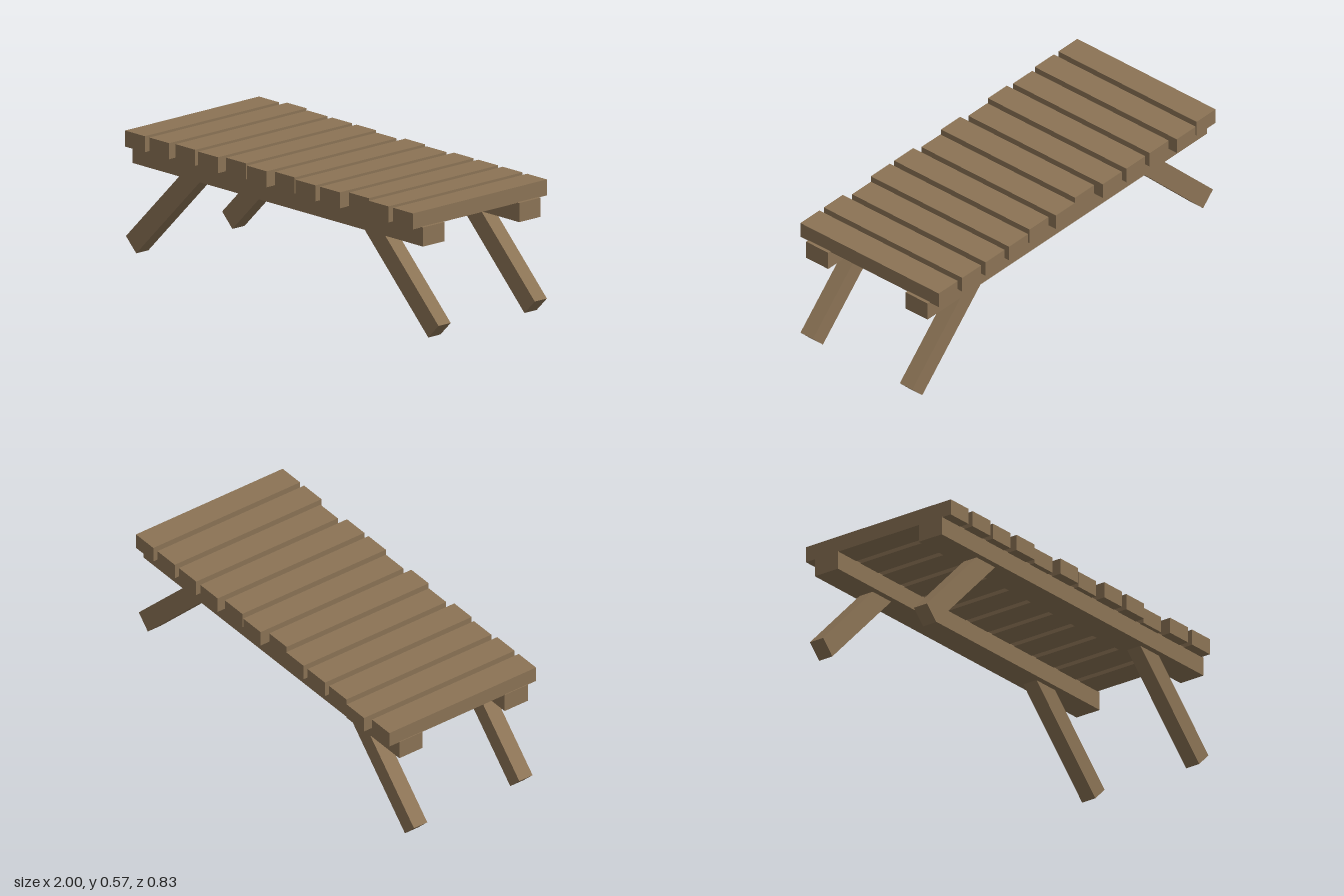
import * as THREE from 'three';

export function createModel() {
  const group = new THREE.Group();
  const wood = new THREE.MeshStandardMaterial({ color: 0x8b7355 });
  wood.name = 'weathered wood';

  function beam(name, w, h, d, x, y, z) {
    const mesh = new THREE.Mesh(new THREE.BoxGeometry(w, h, d), wood);
    mesh.name = name;
    mesh.position.set(x, y, z);
    group.add(mesh);
    return mesh;
  }

  // Slats across the top, each with slightly uneven ends [back, front]
  const ends = [
    [-0.393, 0.412], [-0.414, 0.412], [-0.393, 0.402], [-0.393, 0.412],
    [-0.393, 0.39], [-0.368, 0.412], [-0.393, 0.39], [-0.376, 0.412],
    [-0.393, 0.412], [-0.393, 0.384], [-0.393, 0.412], [-0.393, 0.412],
  ];
  ends.forEach(([back, front], i) => {
    beam('slat' + (i + 1), 0.126, 0.073, front - back,
      -0.863 + i * 0.1559, 0.5385, (front + back) / 2);
  });

  // Long rails under the slats, with a pair of splayed legs each
  const foot = new THREE.Vector2(0.967, 0.033);
  const top = new THREE.Vector2(0.545, 0.455);
  const mid = foot.clone().add(top).multiplyScalar(0.5);
  for (const [side, z] of [['front', 0.301], ['back', -0.277]]) {
    beam(side + 'Rail', 1.86, 0.087, 0.128, 0, 0.4615, z);
    for (const s of [-1, 1]) {
      const leg = beam(side + (s > 0 ? 'Left' : 'Right') + 'Leg',
        0.093, foot.distanceTo(top), 0.073, s * mid.x, mid.y, z);
      leg.rotation.z = s * Math.PI / 4;
    }
  }
  return group;
}
